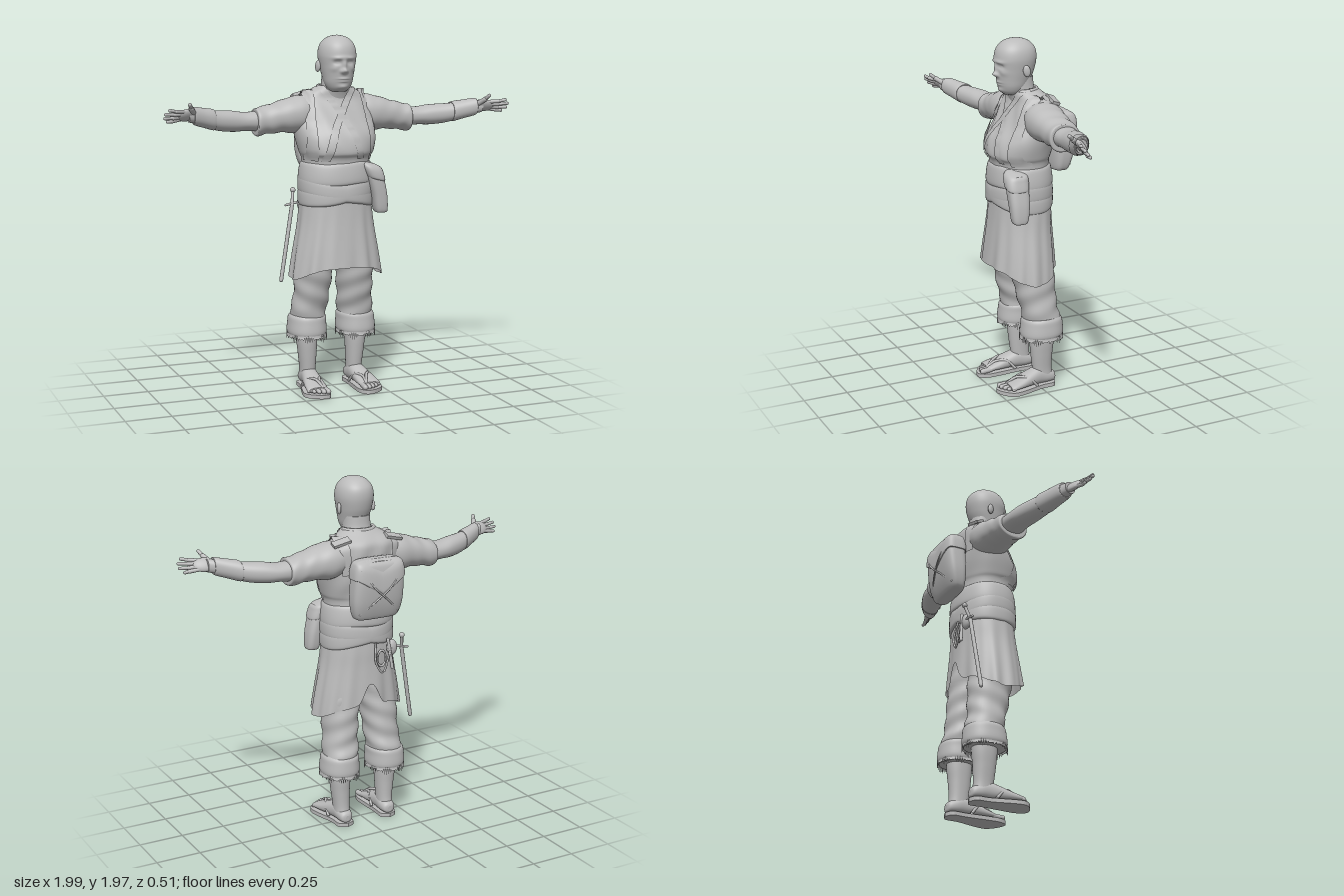
import * as THREE from 'three';
import { mergeGeometries } from 'three/addons/utils/BufferGeometryUtils.js';

const V = (x, y, z) => new THREE.Vector3(x, y, z);
const clay = new THREE.MeshStandardMaterial({ color: 0xbcbcbc, side: THREE.DoubleSide });
clay.name = 'clay grey';

// Smoothly resample cross-sections [t, u, v, ru, rv]
function dense(sections, m) {
  const n = sections.length - 1, rows = [];
  for (let i = 0; i <= m; i++) {
    const f = (i / m) * n, k = Math.min(Math.floor(f), n - 1), s = f - k;
    const at = (j) => sections[Math.max(0, Math.min(n, j))];
    rows.push(at(k).map((b, c) => {
      const a = at(k - 1)[c], d = at(k + 1)[c], e = at(k + 2)[c];
      return b + 0.5 * s * (d - a + s * (2 * a - 5 * b + 4 * d - e + s * (3 * (b - d) + e - a)));
    }));
  }
  return rows;
}

// Skin rounded cross-sections along one axis, listed with the axis value increasing
function loft(axis, sections, { n = 40, m = 30, p = 2.2, caps = true, warp } = {}) {
  const rows = dense(sections, m), pos = [], idx = [];
  const place = (t, u, v) => (axis === 'y' ? V(u, t, v) : axis === 'x' ? V(t, u, v) : V(u, v, t));
  const tri = (a, b, c) => (axis === 'y' ? idx.push(a, c, b) : idx.push(a, b, c));
  const bend = (w) => Math.sign(w) * Math.abs(w) ** (2 / p);
  const ring = ([t, u, v, ru, rv], k) => {
    for (let j = 0; j < n; j++) {
      const a = (j / n) * Math.PI * 2;
      const q = place(t, u + ru * bend(Math.cos(a)), v + rv * bend(Math.sin(a)));
      if (warp) warp(q, a, k);
      pos.push(q.x, q.y, q.z);
    }
  };
  rows.forEach((r, i) => ring(r, i / m));
  for (let i = 0; i < m; i++) for (let j = 0; j < n; j++) {
    const a = i * n + j, b = i * n + (j + 1) % n;
    tri(a, b, b + n); tri(a, b + n, a + n);
  }
  if (caps) [0, m].forEach((i) => {
    const base = pos.length / 3;
    ring(rows[i], i / m);
    const c = V(0, 0, 0);
    for (let j = 0; j < n; j++) c.add(V(...pos.slice((base + j) * 3, (base + j) * 3 + 3)));
    c.divideScalar(n);
    pos.push(c.x, c.y, c.z);
    for (let j = 0; j < n; j++) {
      const a = base + j, b = base + (j + 1) % n;
      if (i) tri(base + n, a, b); else tri(base + n, b, a);
    }
  });
  const g = new THREE.BufferGeometry();
  g.setAttribute('position', new THREE.Float32BufferAttribute(pos, 3));
  g.setIndex(idx);
  g.computeVertexNormals();
  return g;
}

// Rounded rod between two points
function rod(a, b, r) {
  const d = b.clone().sub(a), g = new THREE.CapsuleGeometry(r, d.length(), 5, 12);
  g.applyQuaternion(new THREE.Quaternion().setFromUnitVectors(V(0, 1, 0), d.clone().normalize()));
  return g.translate((a.x + b.x) / 2, (a.y + b.y) / 2, (a.z + b.z) / 2);
}
const cord = (pts, r) => new THREE.TubeGeometry(new THREE.CatmullRomCurve3(pts.map((q) => V(...q))), 24, r, 8);

function mirrored(geo) {
  const g = geo.clone().scale(-1, 1, 1);
  const id = g.index ? [...g.index.array] : [...Array(g.attributes.position.count).keys()];
  for (let i = 0; i < id.length; i += 3) [id[i], id[i + 1]] = [id[i + 1], id[i]];
  return g.setIndex(id);
}

const torso = [[1.05, 0, .05, .195, .16], [1.28, 0, .05, .188, .15], [1.34, 0, .057, .205, .166], [1.42, 0, .042, .225, .164],
  [1.5, 0, .015, .235, .14], [1.58, 0, -.007, .228, .122], [1.63, 0, -.012, .195, .107], [1.67, 0, .01, .13, .085], [1.695, 0, .025, .088, .07]];
const torsoRows = dense(torso, 80);

// Band lying on the tunic; path rows are [x, y, side], side 1 = front, -1 = back
function band(path, width, off) {
  const pos = [], idx = [], curve = new THREE.CatmullRomCurve3(path.map((q) => V(...q))), m = 36;
  for (let i = 0; i <= m; i++) {
    const q = curve.getPoint(i / m);
    for (let j = 0; j <= 4; j++) {
      const x = q.x + width * (j / 4 - 0.5);
      const r = torsoRows.find((w) => w[0] >= q.y) || torsoRows[80];
      const h = Math.max(0, 1 - Math.abs(x / r[3]) ** 2.2) ** (1 / 2.2);
      pos.push(x, q.y + off * 0.5, r[2] + THREE.MathUtils.clamp(q.z, -1, 1) * (r[4] * h + off));
      if (i < m && j < 4) { const a = i * 5 + j; idx.push(a, a + 5, a + 1, a + 1, a + 5, a + 6); }
    }
  }
  const g = new THREE.BufferGeometry();
  g.setAttribute('position', new THREE.Float32BufferAttribute(pos, 3));
  g.setIndex(idx);
  g.computeVertexNormals();
  return g;
}

export function createModel() {
  const model = new THREE.Group();
  model.name = 'traveller';
  const add = (name, g) => { const o = new THREE.Mesh(g, clay); o.name = name; model.add(o); };
  const both = (name, g) => { add(name + 'Left', g); add(name + 'Right', mirrored(g)); };

  // Head with sculpted face: [x, y, amount, width, height]
  const bumps = [[0, 1.778, .024, .014, .014], [0, 1.81, .012, .011, .026], [0, 1.735, .006, .03, .007], [0, 1.722, .005, .025, .006],
    [0, 1.728, -.004, .03, .003], [0, 1.69, .01, .03, .014], [0, 1.85, .004, .06, .01]];
  for (const s of [-1, 1]) bumps.push([s * .036, 1.823, -.014, .018, .011], [s * .036, 1.822, .007, .011, .006],
    [s * .038, 1.845, .006, .025, .007], [s * .016, 1.774, .007, .008, .009], [s * .055, 1.79, .005, .018, .016]);
  add('head', loft('y', [[1.665, 0, .09, .04, .045], [1.68, 0, .09, .06, .063], [1.71, 0, .088, .075, .08], [1.75, 0, .082, .084, .095],
    [1.8, 0, .075, .094, .108], [1.86, 0, .072, .102, .116], [1.91, 0, .07, .093, .107], [1.945, 0, .07, .067, .077],
    [1.961, 0, .07, .036, .042], [1.967, 0, .07, .003, .003]], { n: 96, m: 90, p: 2.1,
    warp: (q) => { if (q.z > .08) for (const [x, y, a, w, h] of bumps) q.z += a * Math.exp(-(((q.x - x) / w) ** 2) - ((q.y - y) / h) ** 2); } }));
  both('ear', new THREE.SphereGeometry(1, 16, 12).scale(.011, .032, .02).rotateX(.15).rotateY(-.35).translate(.102, 1.8, .052));
  add('neck', loft('y', [[1.56, 0, 0, .11, .08], [1.64, 0, .025, .085, .075], [1.7, 0, .045, .076, .075], [1.76, 0, .05, .074, .075]]));

  // Tunic, crossing lapels and neck collar
  add('tunic', loft('y', torso, { n: 64, m: 50,
    warp: (q, a, k) => { q.z += .004 * Math.sin(q.x * 50 + q.y * 25) * Math.sin(k * Math.PI); } }));
  add('rightLapel', band([[-.09, 1.68, 1], [-.05, 1.62, 1], [0, 1.54, 1], [.05, 1.44, 1], [.09, 1.3, 1]], .04, .006));
  add('leftLapel', band([[.09, 1.68, 1], [.05, 1.62, 1], [0, 1.54, 1], [-.06, 1.44, 1], [-.11, 1.29, 1]], .045, .01));
  add('collar', new THREE.TorusGeometry(.088, .014, 10, 40, Math.PI).rotateX(-Math.PI / 2).scale(1, 1.5, .85).translate(0, 1.68, .03));

  // Sash wraps
  const wrap = (tilt) => ({ n: 64, m: 16, warp: (q) => { q.y += tilt * q.x + .004 * Math.sin(q.x * 18); } });
  add('upperSash', loft('y', [[1.16, 0, .05, .195, .157], [1.175, 0, .05, .207, .17], [1.22, 0, .05, .206, .169], [1.27, 0, .05, .197, .16], [1.285, 0, .05, .185, .147]], wrap(0)));
  [-.2, .14].forEach((tilt, i) => add('lowerSash' + i, loft('y', [[1.07, 0, .05, .197, .16], [1.085, 0, .05, .208, .172],
    [1.14, 0, .05, .209, .171], [1.175, 0, .05, .2, .16]], wrap(tilt))));

  // Skirt with deepening folds, dipping sides and a back slit
  add('tunicSkirt', loft('y', [[.715, 0, .06, .26, .183], [.8, 0, .057, .243, .177], [.93, 0, .053, .217, .167], [1.02, 0, .05, .205, .162], [1.12, 0, .05, .195, .155]],
    { n: 144, m: 30, caps: false, warp: (q, a, k) => {
      const h = 1 - k, f = 1 + h * (.022 * Math.sin(11 * a + 1) + .014 * Math.sin(17 * a + 2 * k));
      q.x *= f; q.z = .05 + (q.z - .05) * f;
      const back = Math.exp(-(((a - Math.PI * 1.5) / .16) ** 2));
      q.y += h ** 3 * (.13 * back - .075 * Math.abs(Math.cos(a)) ** 3);
    } }));

  // Sleeves, arms, wristbands
  both('sleeve', loft('x', [[.1, 1.555, -.01, .075, .095], [.2, 1.54, -.005, .1, .112], [.3, 1.53, 0, .086, .1], [.38, 1.515, 0, .077, .09],
    [.44, 1.506, .003, .075, .088], [.45, 1.505, .003, .066, .079]], { m: 40,
    warp: (q, a, k) => { q.y += .005 * Math.sin(q.x * 70 + 2 * a) * k; } }));
  both('arm', loft('x', [[.4, 1.51, 0, .058, .07], [.5, 1.51, .005, .05, .07], [.58, 1.515, .02, .056, .066], [.68, 1.525, .052, .052, .056],
    [.78, 1.55, .095, .04, .04], [.85, 1.562, .125, .035, .03]]));
  both('wristband', loft('x', [[.695, 1.53, .058, .048, .05], [.7, 1.531, .06, .056, .058], [.76, 1.545, .085, .052, .05], [.815, 1.558, .11, .048, .042], [.82, 1.558, .112, .04, .035]]));

  // Hand laid out flat, then turned: palm, four fingers, thumb
  const hand = [new THREE.SphereGeometry(1, 20, 14).scale(.06, .04, .02)];
  [[.09, -.03], [.115, -.011], [.12, .01], [.105, .03]].forEach(([len, y]) => {
    hand.push(rod(V(.025, y * .85, 0), V(.08, y * 1.1, .004), .0105), rod(V(.08, y * 1.1, .004), V(len + .012, y * 1.3, 0), .009));
  });
  hand.push(rod(V(-.03, .02, .006), V(0, .055, .012), .014), rod(V(0, .055, .012), V(.02, .085, .015), .01));
  both('hand', mergeGeometries(hand).rotateX(.65).rotateY(-.3).translate(.862, 1.566, .135));

  // Trousers, turned cuffs with frayed hems, calves
  both('trouserLeg', loft('y', [[.36, .143, -.015, .09, .1], [.43, .14, -.015, .098, .103], [.5, .132, .002, .095, .105], [.6, .125, .017, .096, .115],
    [.72, .118, .032, .105, .122], [.88, .1, .05, .105, .13]], { m: 40,
    warp: (q, a) => { const w = .004 * Math.sin(q.y * 55 + 2 * a); q.x += w * Math.cos(a); q.z += w * Math.sin(a); } }));
  both('cuff', loft('y', [[.305, .145, -.015, .098, .113], [.33, .146, -.016, .108, .122], [.38, .145, -.017, .105, .118], [.41, .143, -.017, .103, .113], [.425, .142, -.016, .094, .1]], { m: 16 }));
  both('frayedHem', loft('y', [[.287, .146, -.015, .108, .123], [.305, .146, -.015, .104, .119], [.33, .146, -.016, .104, .119]], { n: 120, m: 6, caps: false,
    warp: (q, a, k) => { const j = Math.round(a * 120 / (Math.PI * 2)); q.y += (1 - k) * ((j % 2) * .024 - .012 * Math.sin(j * 2.7)); } }));
  both('calf', loft('y', [[.05, .14, -.03, .042, .056], [.11, .14, -.022, .043, .056], [.2, .143, -.018, .05, .063], [.28, .145, -.018, .056, .07], [.38, .145, -.018, .058, .07]]));

  // Feet, toes and sandals
  both('foot', loft('z', [[-.1, .138, .05, .012, .015], [-.09, .138, .052, .034, .03], [-.05, .138, .06, .044, .042], [0, .14, .07, .046, .052],
    [.06, .146, .062, .051, .043], [.12, .152, .05, .058, .031], [.18, .157, .04, .06, .02], [.195, .157, .038, .05, .014]]));
  both('toes', mergeGeometries([0, 1, 2, 3, 4].map((i) => rod(V(.112 + i * .024, .037, .175), V(.11 + i * .0245, .034, .228 - i * i * .0027), .015 - i * .0014))));
  const print = new THREE.Shape().setFromPoints(new THREE.SplineCurve([[.137, .105], [.092, .08], [.092, 0], [.085, -.12], [.085, -.2], [.115, -.25],
    [.17, -.24], [.225, -.19], [.222, -.12], [.19, 0], [.184, .08], [.137, .105]].map((q) => new THREE.Vector2(...q))).getPoints(48));
  both('sandalSole', new THREE.ExtrudeGeometry(print, { depth: .022, bevelEnabled: false }).rotateX(-Math.PI / 2));
  both('sandalStrapInner', cord([[.128, .045, .195], [.13, .075, .14], [.105, .075, .08], [.09, .025, .03]], .008));
  both('sandalStrapOuter', cord([[.128, .045, .195], [.15, .083, .14], [.187, .075, .08], [.192, .025, .03]], .008));

  // Belt pouch on the left hip
  add('pouch', loft('y', [[1, .225, .155, .018, .02], [1.012, .224, .155, .035, .043], [1.1, .212, .153, .043, .055], [1.2, .185, .153, .048, .058], [1.255, .165, .15, .05, .05]], { p: 3 }));
  add('pouchFlap', loft('y', [[1.185, .192, .155, .04, .05], [1.195, .188, .155, .054, .063], [1.235, .172, .153, .06, .064], [1.26, .165, .148, .055, .054], [1.272, .162, .145, .025, .025]], { p: 2.8,
    warp: (q) => { q.y += .25 * (.18 - q.x); } }));

  // Backpack, flap, cords and shoulder straps
  add('backpack', loft('y', [[1.232, 0, -.158, .09, .025], [1.245, 0, -.16, .13, .045], [1.33, 0, -.17, .15, .062], [1.45, 0, -.178, .148, .068], [1.53, 0, -.178, .138, .06], [1.555, 0, -.178, .115, .04]], { p: 3.6, n: 64 }));
  add('backpackFlap', loft('y', [[1.465, 0, -.18, .15, .068], [1.47, 0, -.18, .155, .074], [1.53, 0, -.18, .147, .068], [1.56, 0, -.178, .125, .048], [1.568, 0, -.176, .05, .02]], { p: 3.6, n: 64,
    warp: (q, a, k) => { if (q.z < -.2) q.y -= (1 - k) * .09 * Math.max(0, 1 - Math.abs(q.x) / .14); } }));
  both('backpackCord', cord([[.125, 1.52, -.232], [.05, 1.42, -.253], [-.04, 1.34, -.236], [-.12, 1.265, -.2]], .005));
  both('shoulderStrap', band([[.14, 1.46, -1], [.15, 1.55, -1], [.155, 1.62, -1], [.155, 1.645, 0], [.16, 1.62, 1], [.17, 1.5, 1], [.175, 1.4, 1], [.17, 1.29, 1]], .05, .013));
  both('strapPad', new THREE.BoxGeometry(.1, .016, .045).rotateZ(-.25).rotateX(-.35).translate(.16, 1.645, -.075));

  // Sheathed sword and small tools hung behind the right hip
  add('scabbard', rod(V(-.19, 1.02, -.125), V(-.265, .605, -.1), .011));
  add('swordGrip', rod(V(-.19, 1.02, -.125), V(-.176, 1.095, -.15), .009));
  add('swordGuard', rod(V(-.225, 1.022, -.13), V(-.155, 1.036, -.13), .007));
  add('swordPommel', new THREE.SphereGeometry(.015, 14, 10).translate(-.175, 1.102, -.152));
  add('toolRing', new THREE.TorusGeometry(.032, .006, 8, 24).scale(.8, 1.4, 1).translate(-.06, .98, -.13));
  add('toolHandle', rod(V(-.1, 1.08, -.13), V(-.12, .92, -.145), .009));
  add('toolLoop', cord([[-.03, 1.07, -.118], [-.02, .96, -.14], [-.06, .9, -.145], [-.1, 1, -.145], [-.13, 1.06, -.125]], .006));
  add('toolPouch', new THREE.SphereGeometry(1, 18, 12).scale(.032, .045, .022).translate(-.13, 1.03, -.12));
  return model;
}
